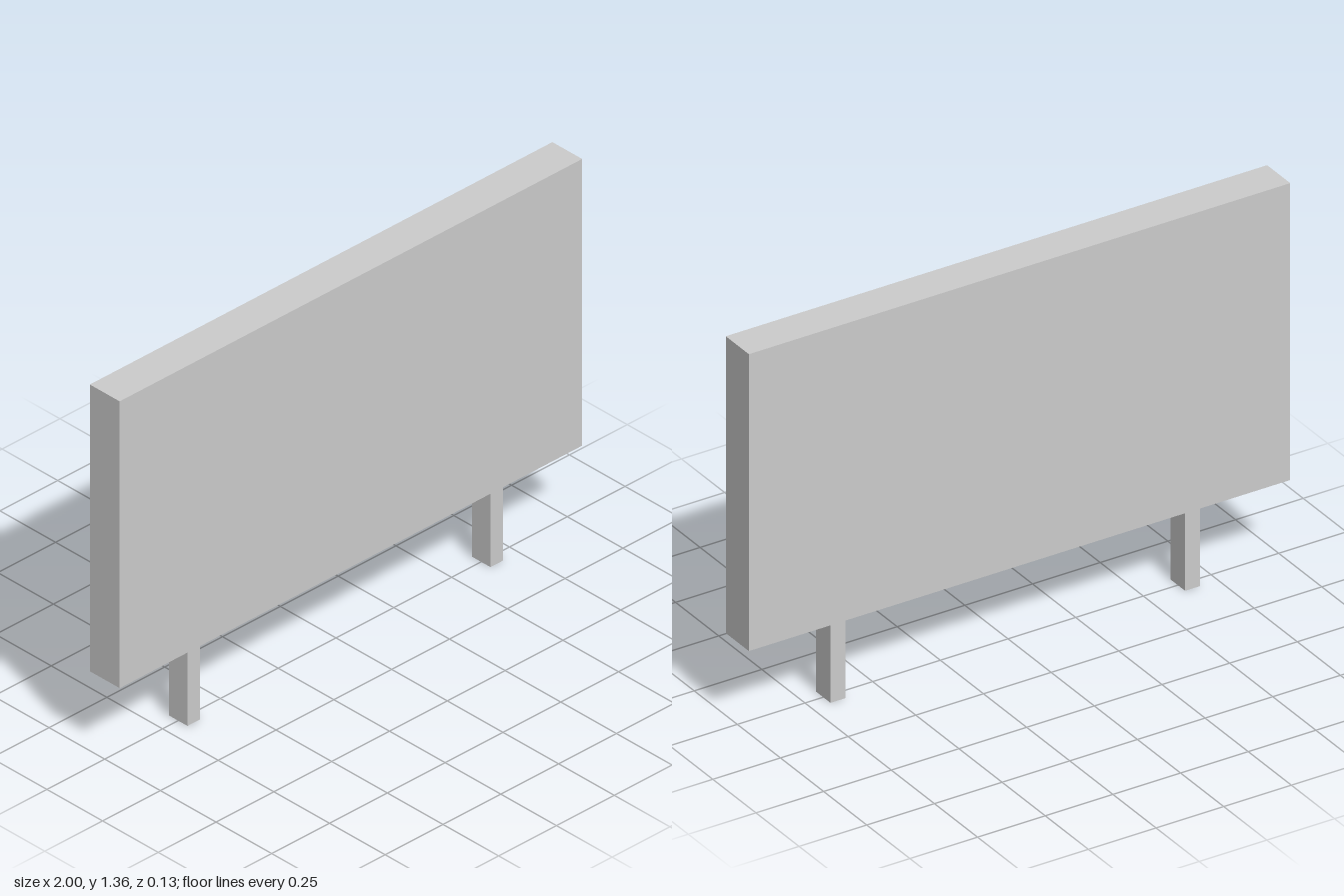
import * as THREE from 'three';

const BOTTOM = 0.295; // underside of the panel
const TOP = 1.36;

export function createModel() {
  const model = new THREE.Group();
  model.name = 'billboard';
  const material = new THREE.MeshStandardMaterial({ color: 0xcccccc });

  const addBox = (name, width, height, depth, x, y) => {
    const mesh = new THREE.Mesh(new THREE.BoxGeometry(width, height, depth), material);
    mesh.name = name;
    mesh.position.set(x, y, 0);
    model.add(mesh);
  };

  // Display panel
  addBox('panel', 2, TOP - BOTTOM, 0.134, 0, (TOP + BOTTOM) / 2);

  // Pair of posts under the panel
  for (const [name, side] of [['leftPost', 1], ['rightPost', -1]]) {
    addBox(name, 0.055, BOTTOM, 0.084, side * 0.655, BOTTOM / 2);
  }
  return model;
}
